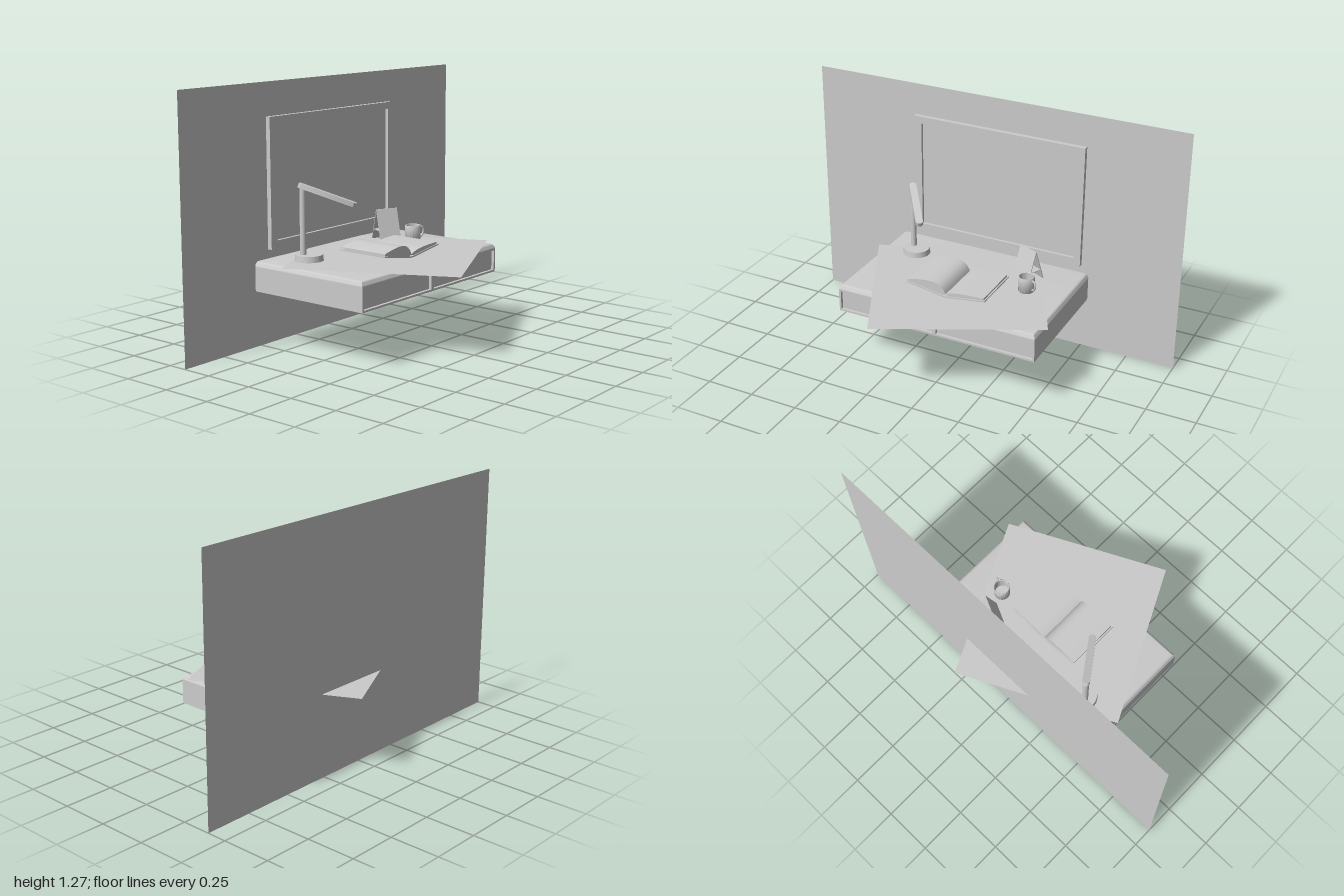
import * as THREE from 'three';
import { toCreasedNormals } from 'three/addons/utils/BufferGeometryUtils.js';

const grey = new THREE.MeshStandardMaterial({ color: 0xcccccc });
const greyDouble = new THREE.MeshStandardMaterial({ color: 0xcccccc, side: THREE.DoubleSide });

function add(parent, name, geometry, x = 0, y = 0, z = 0, material = grey) {
  const mesh = new THREE.Mesh(geometry, material);
  mesh.name = name;
  mesh.position.set(x, y, z);
  parent.add(mesh);
  return mesh;
}

function group(parent, name, x = 0, y = 0, z = 0) {
  const g = new THREE.Group();
  g.name = name;
  g.position.set(x, y, z);
  parent.add(g);
  return g;
}

const box = (w, h, d) => new THREE.BoxGeometry(w, h, d);

// Rectangle path given by its bounds
function rect(PathType, x0, x1, y0, y1) {
  return new PathType([[x0, y0], [x1, y0], [x1, y1], [x0, y1]].map(p => new THREE.Vector2(...p)));
}

function extrude(shape, depth) {
  const g = new THREE.ExtrudeGeometry(shape, { depth, bevelEnabled: false, curveSegments: 16 });
  return toCreasedNormals(g, 0.6);
}

// Frame with rectangular openings, extruded along z
function frame(outer, openings, depth) {
  const shape = rect(THREE.Shape, ...outer);
  openings.forEach(o => shape.holes.push(rect(THREE.Path, ...o)));
  return extrude(shape, depth);
}

// Slab whose top is rounded on the front and both sides; the back stays flat
function roundedSlab(w, h, d) {
  const g = new THREE.BoxGeometry(w, h, d, 1, 8, 1);
  const p = g.attributes.position;
  for (let i = 0; i < p.count; i++) {
    const a = (p.getY(i) / h + 0.5) * Math.PI / 2;
    const inset = h * (1 - Math.cos(a));
    p.setX(i, p.getX(i) - Math.sign(p.getX(i)) * inset);
    if (p.getZ(i) > 0) p.setZ(i, p.getZ(i) - inset);
    p.setY(i, h * (Math.sin(a) - 0.5));
  }
  return toCreasedNormals(g, 0.6);
}

function buildDesk(root) {
  const desk = group(root, 'desk', -0.005, 0, 0);
  add(desk, 'deskBody', box(1.06, 0.12, 0.645), 0, 0.335, -0.0775);
  add(desk, 'deskTop', roundedSlab(1.06, 0.025, 0.66), 0, 0.4075, -0.07);
  const openings = [[-0.52, -0.01, 0.285, 0.385], [0.01, 0.52, 0.285, 0.385]];
  add(desk, 'drawerFrame', frame([-0.53, 0.53, 0.275, 0.395], openings, 0.015), 0, 0, 0.245);
}

function buildPicture(root) {
  const picture = group(root, 'wallBoard');
  add(picture, 'boardFrame', frame([-0.445, 0.485, 0.465, 1.105], [[-0.405, 0.45, 0.505, 1.07]], 0.024), 0, 0, -0.4);
  add(picture, 'boardPanel', box(0.855, 0.565, 0.008), 0.0225, 0.7875, -0.395);
}

function buildLamp(root) {
  const lamp = group(root, 'deskLamp');
  add(lamp, 'lampBase', new THREE.CylinderGeometry(0.067, 0.07, 0.03, 40), -0.355, 0.436, -0.217);
  add(lamp, 'lampPole', new THREE.CylinderGeometry(0.015, 0.015, 0.34, 24), -0.38, 0.615, -0.232);
  // Flat arm with rounded ends, aimed forward and down
  const L = 0.255, r = 0.018;
  const s = new THREE.Shape();
  s.moveTo(0, -r);
  s.lineTo(L, -r);
  s.absarc(L, 0, r, -Math.PI / 2, Math.PI / 2, false);
  s.lineTo(0, r);
  s.absarc(0, 0, r, Math.PI / 2, Math.PI * 1.5, false);
  const armGeo = extrude(s, 0.022).translate(0, 0, -0.011).rotateX(-Math.PI / 2);
  const arm = add(lamp, 'lampArm', armGeo, -0.382, 0.782, -0.234);
  arm.rotation.order = 'YZX';
  arm.rotation.set(0, -0.94, -0.34);
}

function buildBook(root) {
  const book = group(root, 'openBook', -0.007, 0, 0);
  // Shallow V cover
  const cover = new THREE.Shape([
    [-0.213, 0.456], [-0.015, 0.423], [0.015, 0.423], [0.213, 0.45],
    [0.213, 0.457], [0.015, 0.43], [-0.015, 0.43], [-0.213, 0.463],
  ].map(p => new THREE.Vector2(...p)));
  add(book, 'bookCover', extrude(cover, 0.278), 0, 0, -0.14);
  // Page blocks, the left one bulging more
  const left = new THREE.Shape();
  left.moveTo(-0.015, 0.43);
  left.lineTo(0, 0.437);
  left.bezierCurveTo(-0.025, 0.505, -0.09, 0.498, -0.205, 0.472);
  left.lineTo(-0.205, 0.4615);
  add(book, 'leftPages', extrude(left, 0.266), 0, 0, -0.134);
  const right = new THREE.Shape();
  right.moveTo(0, 0.437);
  right.lineTo(0.015, 0.43);
  right.lineTo(0.205, 0.456);
  right.lineTo(0.205, 0.466);
  right.bezierCurveTo(0.12, 0.462, 0.04, 0.462, 0, 0.437);
  add(book, 'rightPages', extrude(right, 0.266), 0, 0, -0.134);
  // Notched bookmark at the left edge
  const ribbon = new THREE.Shape([[-0.19, 0.1], [-0.235, 0.105], [-0.225, 0.118], [-0.238, 0.13], [-0.19, 0.128]]
    .map(p => new THREE.Vector2(...p)));
  add(book, 'bookmark', new THREE.ShapeGeometry(ribbon).rotateX(-Math.PI / 2), 0, 0.466, 0, greyDouble);
}

function buildCalendar(root) {
  const tent = group(root, 'tentCard', 0.265, 0.422, -0.238);
  tent.rotation.y = -0.44;
  const lean = Math.atan2(0.05, 0.157);
  for (const side of [1, -1]) {
    const panel = add(tent, side > 0 ? 'frontPanel' : 'backPanel', box(0.117, 0.165, 0.004), 0, 0.079, side * 0.025);
    panel.rotation.x = -side * lean;
  }
  add(tent, 'crossStrip', box(0.117, 0.003, 0.066), 0, 0.052, 0);
}

function buildMug(root) {
  const mug = group(root, 'mug', 0.316, 0.421, -0.106);
  const profile = [[0, 0], [0.036, 0], [0.04, 0.005], [0.04, 0.08], [0.0385, 0.082], [0.036, 0.08], [0.036, 0.008], [0, 0.006]];
  const body = new THREE.LatheGeometry(profile.map(p => new THREE.Vector2(...p)), 40);
  add(mug, 'mugBody', toCreasedNormals(body, 0.7));
  const path = new THREE.CatmullRomCurve3([[0.036, 0.067], [0.052, 0.069], [0.061, 0.056], [0.059, 0.035], [0.05, 0.022], [0.036, 0.02]]
    .map(([x, y]) => new THREE.Vector3(x, y, 0)));
  const handle = add(mug, 'mugHandle', new THREE.TubeGeometry(path, 24, 0.005, 10));
  handle.rotation.y = -0.4;
}

export function createModel() {
  const root = new THREE.Group();
  root.name = 'deskScene';

  add(root, 'wall', new THREE.PlaneGeometry(2, 1.27), 0, 0.635, -0.4, greyDouble);
  buildDesk(root);

  // Square cloth laid askew, overhanging the desk
  const cloth = new THREE.PlaneGeometry(0.842, 0.842).rotateX(-Math.PI / 2).rotateY(0.458);
  add(root, 'cloth', cloth, -0.005, 0.4215, -0.005, greyDouble);

  buildPicture(root);
  buildLamp(root);
  buildBook(root);
  buildCalendar(root);
  buildMug(root);
  return root;
}
